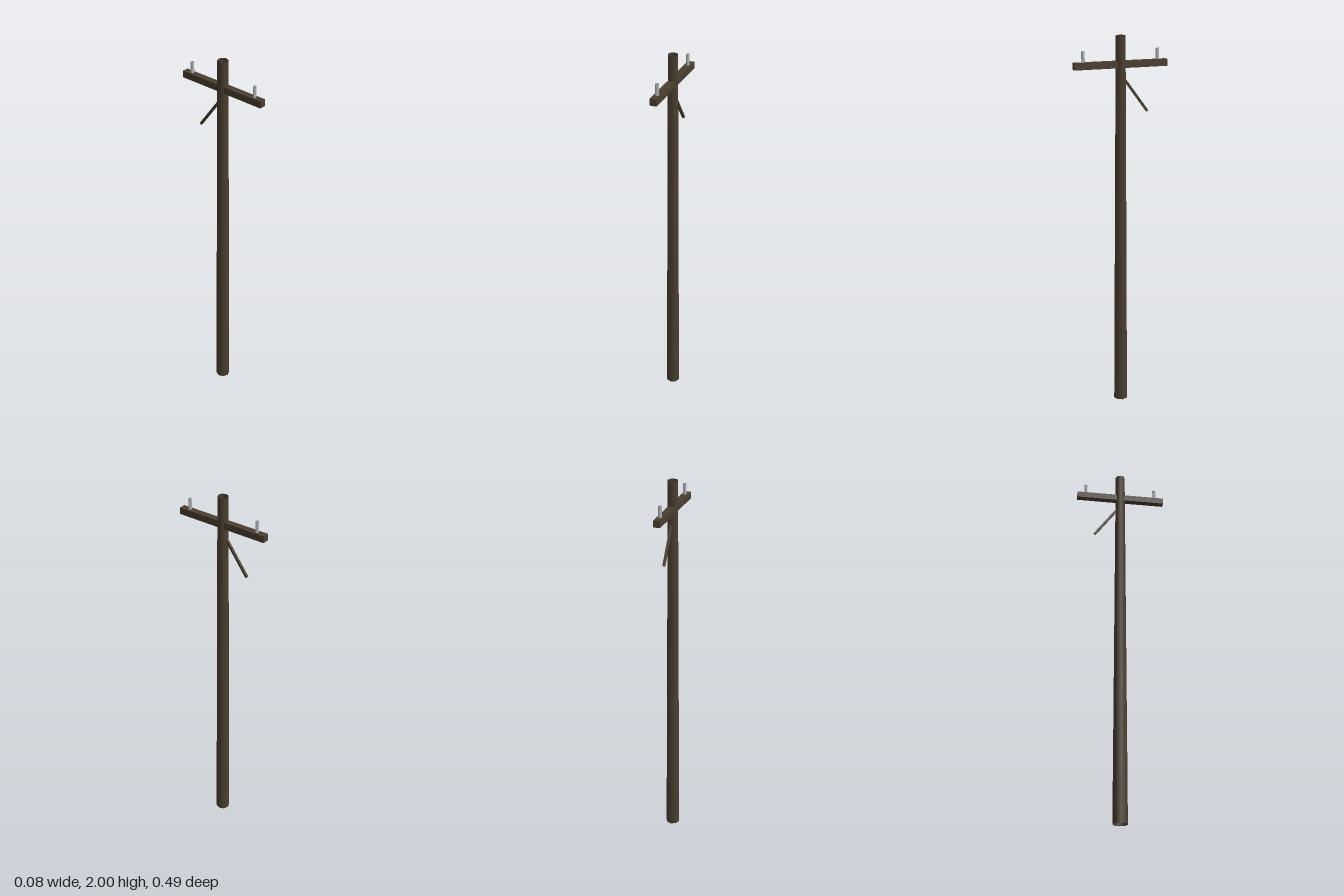
import * as THREE from 'three';

const wood = new THREE.MeshStandardMaterial({ color: 0x4a3e2f, side: THREE.DoubleSide });
wood.name = 'dark weathered wood';
const ceramic = new THREE.MeshStandardMaterial({ color: 0xb4b8ba, side: THREE.DoubleSide });
ceramic.name = 'grey ceramic';

export function createModel() {
  const model = new THREE.Group();
  model.name = 'utilityPole';

  const add = (name, geometry, material, x, y, z) => {
    const mesh = new THREE.Mesh(geometry, material);
    mesh.name = name;
    mesh.position.set(x, y, z);
    model.add(mesh);
    return mesh;
  };

  // Tapered eight-sided pole, open at both ends
  add('pole', new THREE.CylinderGeometry(0.026, 0.038, 2, 8, 1, true), wood, 0, 1, 0);

  // Crossarm running front to back
  add('crossarm', new THREE.BoxGeometry(0.034, 0.034, 0.488), wood, 0, 1.858, 0);

  // Open six-sided insulators standing on the crossarm
  const pin = new THREE.CylinderGeometry(0.009, 0.009, 0.056, 6, 1, true);
  for (const [name, z] of [['frontInsulator', 0.195], ['middleInsulator', 0], ['backInsulator', -0.195]]) {
    add(name, pin, ceramic, 0, 1.903, z);
  }

  // Thin strut slanting down behind the pole
  const top = new THREE.Vector3(0, 1.785, -0.018);
  const end = new THREE.Vector3(0, 1.615, -0.143);
  const mid = top.clone().add(end).multiplyScalar(0.5);
  const strut = add('strut', new THREE.BoxGeometry(0.012, 0.012, top.distanceTo(end)), wood, mid.x, mid.y, mid.z);
  strut.lookAt(end);

  return model;
}
